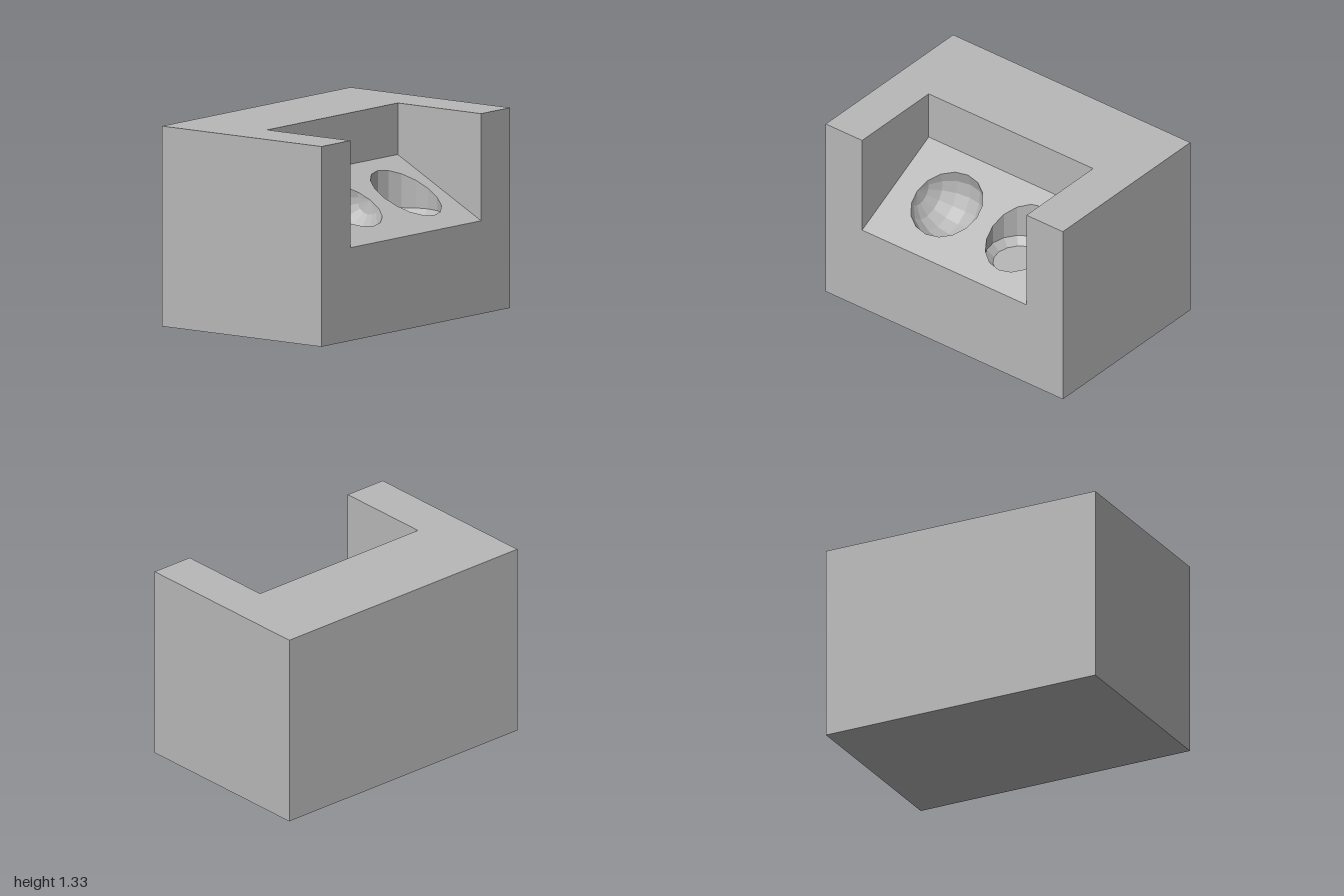
import * as THREE from 'three';

const W = 1, H = 1.333, D = 0.667;              // half width, height, half depth
const NX = 0.693, NZ = -0.03;                   // recess half width and back edge
const FRONT_Y = 0.62, BACK_Y = 0.99;            // sloped floor heights
const SLOPE = Math.atan2(BACK_Y - FRONT_Y, D - NZ);
const SIDES = 16;

const floorY = (z) => FRONT_Y + (D - z) * Math.tan(SLOPE);
const BOWL = { x: -0.27, z: 0.305, r: 0.25 };
const CUP = { x: 0.355, z: 0.305, r: 0.235, base: 0.625, chamfer: 0.05 };

// Polygonal opening in the floor's own plane (x across, y up the slope)
function opening(x, z, rx, ry) {
  const points = [];
  for (let i = 0; i < SIDES; i++) {
    const t = (i / SIDES) * Math.PI * 2;
    points.push(new THREE.Vector2(x + rx * Math.cos(t), (D - z) / Math.cos(SLOPE) + ry * Math.sin(t)));
  }
  return new THREE.Path(points);
}

export function createModel() {
  const group = new THREE.Group();
  const grey = new THREE.MeshStandardMaterial({ color: 0xb8b8b8, flatShading: true, side: THREE.DoubleSide });
  grey.name = 'grey';

  const add = (name, geometry) => {
    const mesh = new THREE.Mesh(geometry, grey);
    mesh.name = name;
    group.add(mesh);
    return mesh;
  };

  // U-shaped back and side walls, extruded upwards
  const plan = new THREE.Shape([
    [-W, -D], [-NX, -D], [-NX, -NZ], [NX, -NZ], [NX, -D], [W, -D], [W, D], [-W, D],
  ].map(([x, y]) => new THREE.Vector2(x, y)));
  add('walls', new THREE.ExtrudeGeometry(plan, { depth: H, bevelEnabled: false }).rotateX(-Math.PI / 2));

  // Front panel and underside that close the base below the recess
  add('frontPanel', new THREE.PlaneGeometry(2 * NX, FRONT_Y)).position.set(0, FRONT_Y / 2, D);
  add('underside', new THREE.PlaneGeometry(2 * NX, D - NZ).rotateX(Math.PI / 2))
    .position.set(0, 0, (D + NZ) / 2);

  // Sloped floor with two openings
  const length = (D - NZ) / Math.cos(SLOPE);
  const floor = new THREE.Shape([
    new THREE.Vector2(-NX, 0), new THREE.Vector2(NX, 0),
    new THREE.Vector2(NX, length), new THREE.Vector2(-NX, length),
  ]);
  floor.holes.push(
    opening(BOWL.x, BOWL.z, BOWL.r, BOWL.r),
    opening(CUP.x, CUP.z, CUP.r, CUP.r / Math.cos(SLOPE)),
  );
  add('slopedFloor', new THREE.ShapeGeometry(floor).rotateX(SLOPE - Math.PI / 2))
    .position.set(0, FRONT_Y, D);

  // Half-sphere bowl sunk square to the slope, poles to the sides
  const bowl = new THREE.SphereGeometry(BOWL.r, SIDES / 2, SIDES / 2, 0, Math.PI)
    .rotateZ(Math.PI / 2).rotateX(Math.PI / 2 + SLOPE);
  add('roundBowl', bowl).position.set(BOWL.x, floorY(BOWL.z), BOWL.z);

  // Upright cup with a chamfered base, its rim trimmed to the slope
  const inner = CUP.r - CUP.chamfer;
  const cup = new THREE.LatheGeometry([
    new THREE.Vector2(0, CUP.base), new THREE.Vector2(inner, CUP.base),
    new THREE.Vector2(CUP.r, CUP.base + CUP.chamfer), new THREE.Vector2(CUP.r, H),
  ], SIDES);
  const p = cup.attributes.position;
  for (let i = 0; i < p.count; i++) {
    if (p.getY(i) > 1) p.setY(i, floorY(CUP.z + p.getZ(i)));
  }
  add('uprightCup', cup).position.set(CUP.x, 0, CUP.z);

  return group;
}
